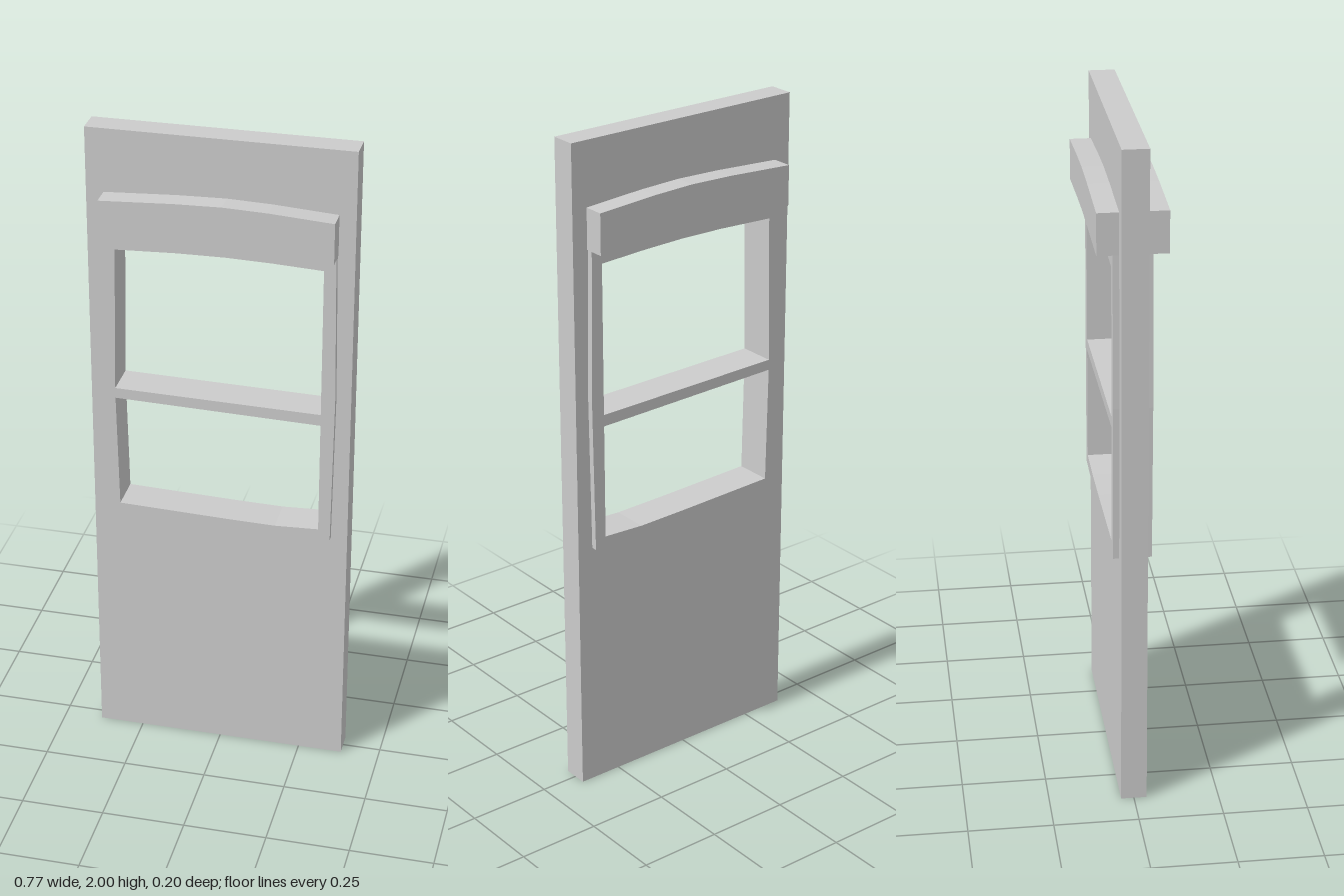
import * as THREE from 'three';

const material = new THREE.MeshStandardMaterial({ color: 0xcccccc, flatShading: true });
const points = (list) => list.map(([x, y]) => new THREE.Vector2(x, y));

// Extrude an outline with optional holes, centred on z = 0
function slab(name, outline, depth, holes = []) {
  const shape = new THREE.Shape(points(outline));
  for (const hole of holes) shape.holes.push(new THREE.Path(points(hole)));
  const geometry = new THREE.ExtrudeGeometry(shape, { depth, bevelEnabled: false });
  geometry.translate(0, 0, -depth / 2);
  const mesh = new THREE.Mesh(geometry, material);
  mesh.name = name;
  return mesh;
}

export function createModel() {
  const group = new THREE.Group();
  group.name = 'wallWithWindow';

  // Slightly bowed, hand-cut outlines, all counter-clockwise from bottom left
  const frameOutline = [
    [-0.335, 0.773], [0.03, 0.764], [0.17, 0.764], [0.335, 0.775],
    [0.341, 1.24], [0.333, 1.75], [-0.331, 1.75], [-0.343, 1.24],
  ];
  const upperPane = [
    [-0.308, 1.202], [0.3, 1.191], [0.3, 1.645],
    [0.15, 1.652], [0.02, 1.655], [-0.12, 1.653], [-0.3, 1.645],
  ];
  const lowerPane = [
    [-0.301, 0.815], [0.02, 0.805], [0.17, 0.802], [0.3, 0.808],
    [0.3, 1.156], [-0.308, 1.17],
  ];
  const lintelOutline = [
    [-0.333, 1.688], [-0.12, 1.697], [0.02, 1.7], [0.15, 1.697], [0.336, 1.688],
    [0.336, 1.81], [0.15, 1.822], [0.02, 1.826], [-0.12, 1.822], [-0.333, 1.81],
  ];

  // Wall panel, opened to receive the frame
  const wall = [[-0.384, 0], [0.384, 0], [0.384, 2], [-0.384, 2]];
  group.add(slab('wallPanel', wall, 0.076, [frameOutline]));

  // Frame with its crossbar, and the deep lintel over it on both faces
  group.add(slab('windowFrame', frameOutline, 0.112, [upperPane, lowerPane]));
  group.add(slab('lintel', lintelOutline, 0.2));
  return group;
}
